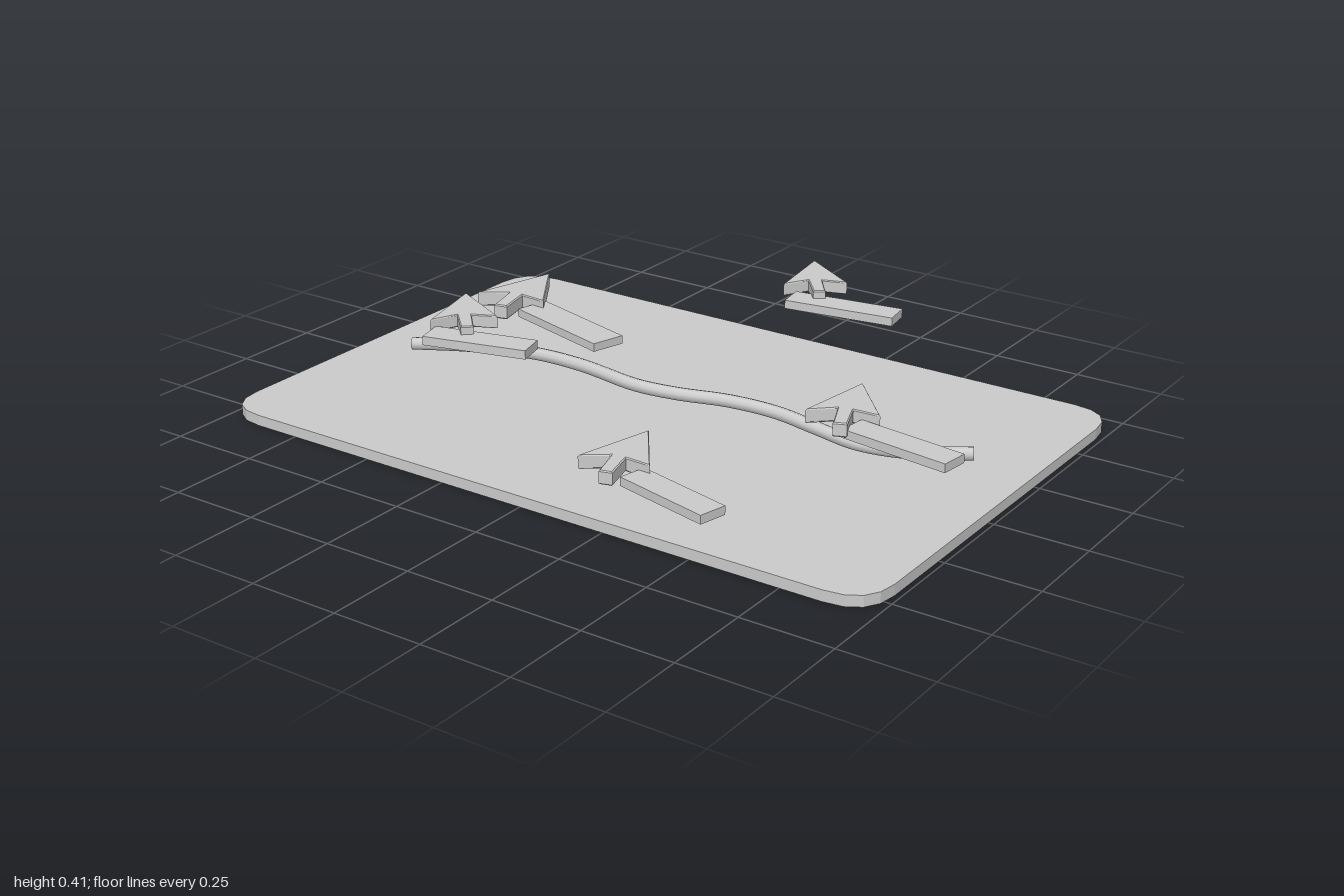
import * as THREE from 'three';

export function createModel() {
  const model = new THREE.Group();
  model.name = 'pointerBoard';
  const grey = new THREE.MeshStandardMaterial({ color: 0xcccccc });
  grey.name = 'grey';
  const greyOpen = new THREE.MeshStandardMaterial({ color: 0xcccccc, side: THREE.DoubleSide });
  greyOpen.name = 'greyTube';

  const add = (parent, name, geometry, material = grey) => {
    const mesh = new THREE.Mesh(geometry, material);
    mesh.name = name;
    parent.add(mesh);
    return mesh;
  };

  // Extrudes a shape drawn in (x, z) downwards from y = 0
  const slab = (shape, options) =>
    new THREE.ExtrudeGeometry(shape, { bevelEnabled: false, ...options }).rotateX(Math.PI / 2);

  // Board with rounded corners
  const [x0, x1, z0, z1, r] = [-1, 0.985, -0.73, 0.58, 0.12];
  const outline = new THREE.Shape();
  outline.moveTo(x0 + r, z0);
  outline.lineTo(x1 - r, z0);
  outline.quadraticCurveTo(x1, z0, x1, z0 + r);
  outline.lineTo(x1, z1 - r);
  outline.quadraticCurveTo(x1, z1, x1 - r, z1);
  outline.lineTo(x0 + r, z1);
  outline.quadraticCurveTo(x0, z1, x0, z1 - r);
  outline.lineTo(x0, z0 + r);
  outline.quadraticCurveTo(x0, z0, x0 + r, z0);
  add(model, 'board', slab(outline, { depth: 0.03, curveSegments: 4 })).position.y = 0.03;

  // Wavy tube floating over the board
  const path = new THREE.CatmullRomCurve3([
    [-0.82, 0.07, 0.02], [-0.66, 0.075, -0.05], [-0.47, 0.083, -0.09], [-0.3, 0.09, -0.08],
    [-0.09, 0.092, -0.045], [0.03, 0.091, -0.06], [0.165, 0.087, -0.105], [0.3, 0.081, -0.123],
    [0.43, 0.075, -0.107], [0.565, 0.07, -0.09], [0.7, 0.07, -0.12], [0.84, 0.075, -0.195],
  ].map((p) => new THREE.Vector3(...p)));
  add(model, 'wavyTube', new THREE.TubeGeometry(path, 64, 0.018, 10, false), greyOpen);

  // Pointer arrow, tip at the origin and left edge along +z
  const arrowShape = new THREE.Shape([
    [0, 0], [0.154, 0.133], [0.085, 0.147], [0.127, 0.224],
    [0.097, 0.241], [0.05, 0.162], [0, 0.222],
  ].map((p) => new THREE.Vector2(...p)));
  const arrowGeometry = slab(arrowShape, {
    depth: 0.03, bevelEnabled: true, bevelSegments: 1,
    bevelSize: 0.003, bevelThickness: 0.003, bevelOffset: -0.003,
  }).translate(0, -0.003, 0);

  // Pointers: tip x, top y, tip z, turn, scale, tag centre x and z, tag length and width
  const pointers = [
    [-0.61, 0.216, -0.345, -0.28, 1.13, -0.36, -0.107, 0.345, 0.097],
    [0.165, 0.359, -0.525, 0.15, 0.95, 0.378, -0.32, 0.3, 0.076],
    [0.61, 0.27, -0.025, -0.13, 1.02, 0.843, 0.19, 0.3, 0.077],
    [0.29, 0.229, 0.44, -0.235, 1, 0.505, 0.655, 0.275, 0.076],
    [-0.355, 0.413, 0.334, 0.25, 0.94, -0.158, 0.522, 0.275, 0.076],
  ];
  for (const [x, y, z, turn, scale, tagX, tagZ, length, width] of pointers) {
    const pointer = new THREE.Group();
    pointer.name = 'pointer';
    model.add(pointer);
    const arrow = add(pointer, 'arrow', arrowGeometry);
    arrow.position.set(x, y, z);
    arrow.rotation.y = turn;
    arrow.scale.setScalar(scale);
    const tag = add(pointer, 'tag', new THREE.BoxGeometry(length, 0.023, width));
    tag.position.set(tagX, y - 0.033, tagZ);
    tag.rotation.y = turn;
  }
  return model;
}
